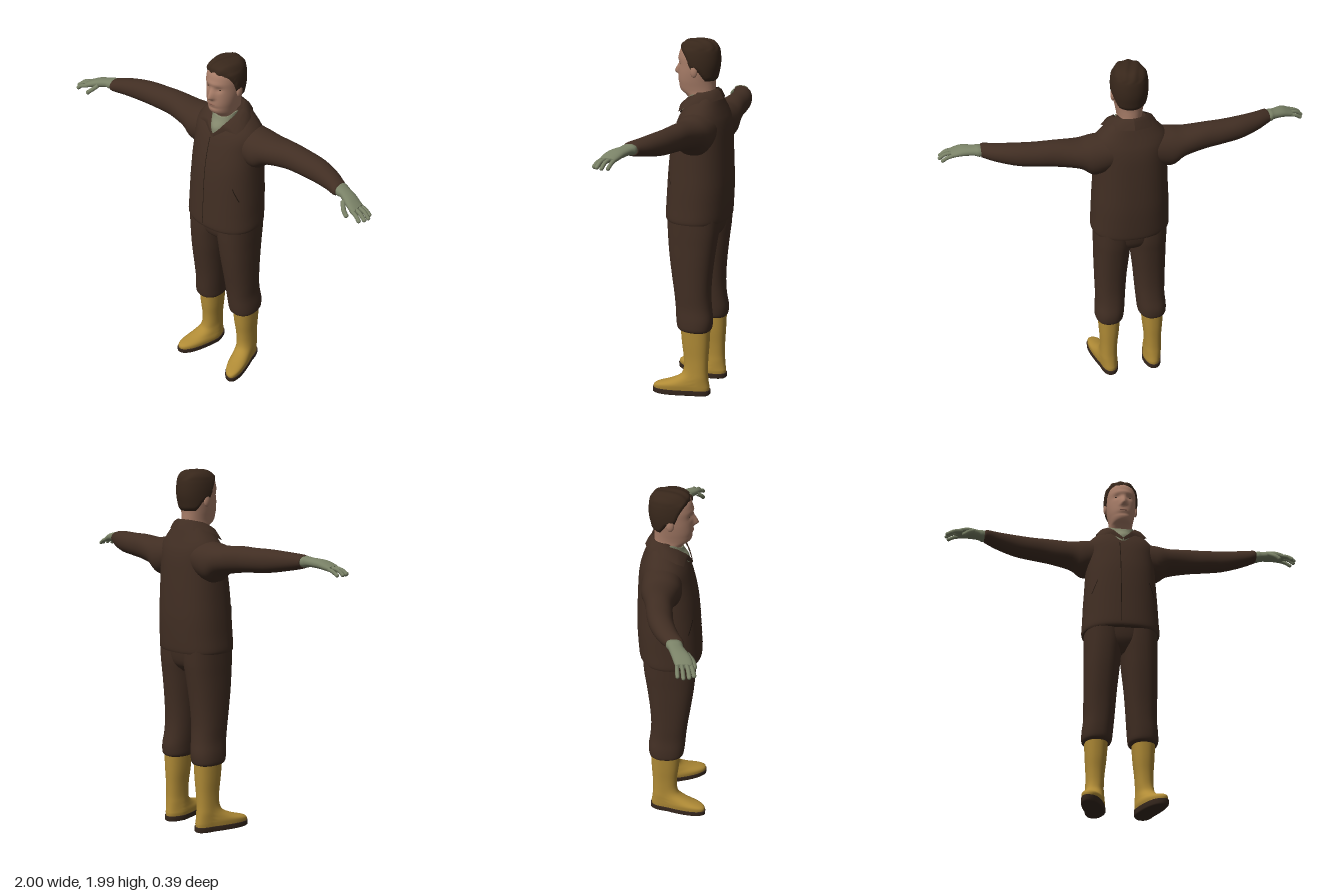
import * as THREE from 'three';
import { mergeGeometries } from 'three/addons/utils/BufferGeometryUtils.js';

const V = (x, y, z) => new THREE.Vector3(x, y, z);
const clamp = THREE.MathUtils.clamp, smooth = THREE.MathUtils.smoothstep;

// Smoothly subdivide rows of section numbers
function refine(rows, k = 4) {
  const out = [], last = rows.length - 1;
  for (let i = 0; i < last; i++) for (let s = 0; s < k; s++) {
    const t = s / k, [a, b, c, d] = [i - 1, i, i + 1, i + 2].map(n => rows[clamp(n, 0, last)]);
    out.push(b.map((_, q) => {
      const m0 = (c[q] - a[q]) / 2, m1 = (d[q] - b[q]) / 2;
      return b[q] + t * m0 + t * t * (3 * (c[q] - b[q]) - 2 * m0 - m1) + t * t * t * (2 * (b[q] - c[q]) + m0 + m1);
    }));
  }
  out.push(rows[last]);
  return out;
}

// Surface through rows of points; closed rows wrap around and get end caps
function grid(rows, closed) {
  const m = rows[0].length, pts = rows.flat(), idx = [], n = rows.length;
  for (let i = 0; i < n - 1; i++) for (let j = 0; j < (closed ? m : m - 1); j++) {
    const k = (j + 1) % m, a = i * m + j, b = a + m, c = i * m + k, d = c + m;
    idx.push(a, b, c, b, d, c);
  }
  if (closed) for (const end of [0, n - 1]) {
    const base = pts.length, centre = V(0, 0, 0);
    rows[end].forEach(p => { pts.push(p); centre.addScaledVector(p, 1 / m); });
    pts.push(centre);
    for (let j = 0; j < m; j++) {
      const k = (j + 1) % m;
      idx.push(base + m, base + (end ? k : j), base + (end ? j : k));
    }
  }
  const g = new THREE.BufferGeometry().setFromPoints(pts);
  g.setIndex(idx);
  g.computeVertexNormals();
  return g;
}

// Rows are [position, centreA, radiusA, centreB, radiusB] of superellipse sections
function loft(rows, { axis = 'y', n = 2, seg = 36, tweak = p => p } = {}) {
  const pw = v => Math.sign(v) * Math.abs(v) ** (2 / n);
  return grid(rows.map(([s, ca, ra, cb, rb]) => Array.from({ length: seg }, (_, j) => {
    const t = j / seg * Math.PI * 2, a = ca + ra * pw(Math.cos(t)), b = cb + rb * pw(Math.sin(t));
    return tweak(axis === 'y' ? V(a, s, b) : V(s, b, a));
  })), true);
}
const span = (hi, lo) => [(hi + lo) / 2, (hi - lo) / 2];
const upright = rows => rows.map(([y, front, back, rx, cx = 0]) => [y, cx, rx, ...span(front, back)]);
const sideways = rows => rows.map(([x, top, bottom, front, back]) => [x, ...span(front, back), ...span(top, bottom)]);

function mirrored(geo) {
  const g = geo.clone().scale(-1, 1, 1), ix = g.index.array;
  for (let i = 0; i < ix.length; i += 3) [ix[i], ix[i + 1]] = [ix[i + 1], ix[i]];
  return g;
}
const ball = (x, y, z, rx, ry, rz) => new THREE.SphereGeometry(1, 16, 10).scale(rx, ry, rz).translate(x, y, z);

// Finger with a round tip, without uv so that it merges with lofted parts
function finger(pts, r) {
  const c = new THREE.CatmullRomCurve3(pts.map(p => V(...p))), tip = pts[pts.length - 1];
  return mergeGeometries([new THREE.TubeGeometry(c, 8, r, 8), ball(...tip, r, r, r)]).deleteAttribute('uv');
}

export function createModel() {
  const model = new THREE.Group();
  const material = (name, color, side = THREE.FrontSide) => {
    const m = new THREE.MeshStandardMaterial({ color, side });
    m.name = name;
    return m;
  };
  const cloth = material('brown cloth', 0x412e23, THREE.DoubleSide), seam = material('dark seam', 0x21170f, THREE.DoubleSide);
  const skin = material('skin', 0xa97e69), hairMat = material('dark brown hair', 0x38271b);
  const lipMat = material('lips', 0x8e6252), glove = material('grey green glove', 0x7a8267);
  const shirtMat = material('pale green shirt', 0x83876c), yellow = material('yellow rubber', 0xb08b36);
  const soleMat = material('dark sole', 0x38291f);
  const add = (name, geo, mat) => {
    const mesh = new THREE.Mesh(geo, mat);
    mesh.name = name;
    model.add(mesh);
  };
  const pair = (name, geo, mat) => { add(name + 'Left', geo, mat); add(name + 'Right', mirrored(geo), mat); };

  // Jacket body
  const torso = refine(upright([
    [1.01, .161, -.176, .213], [1.03, .166, -.181, .217], [1.1, .163, -.186, .213], [1.2, .157, -.19, .209],
    [1.3, .15, -.188, .203], [1.4, .138, -.184, .198], [1.5, .115, -.178, .194], [1.56, .095, -.168, .197],
    [1.6, .075, -.155, .187], [1.64, .05, -.14, .155], [1.68, .02, -.125, .115], [1.71, 0, -.11, .08]]));
  add('jacketBody', loft(torso, { n: 2.3, seg: 48 }), cloth);

  // Seams laid on the front of the jacket
  const torsoZ = (x, y) => {
    const i = clamp(torso.findIndex(r => r[0] >= y), 1, torso.length - 1), a = torso[i - 1], b = torso[i];
    const [, , rx, cz, rz] = a.map((v, q) => v + (b[q] - v) * (y - a[0]) / (b[0] - a[0]));
    return cz + rz * (1 - Math.abs(x / rx) ** 2.3) ** (1 / 2.3);
  };
  const strip = (x0, y0, x1, y1, w) => grid([-w, w].map(o => Array.from({ length: 15 }, (_, i) => {
    const x = x0 + (x1 - x0) * i / 14 + o, y = y0 + (y1 - y0) * i / 14;
    return V(x, y, torsoZ(x, y) + .003);
  })), false);
  add('jacketFrontSeam', strip(-.02, 1.03, -.02, 1.555, .002), seam);
  pair('pocketSeam', strip(.145, 1.3, .175, 1.22, .002), seam);

  // Folded collar with lapels
  const inner = [[0, 1.727, -.106], [.06, 1.724, -.09], [.09, 1.71, -.03], [.078, 1.685, .03], [.052, 1.645, .078], [.03, 1.615, .095], [0, 1.58, .105]];
  const outer = [[0, 1.675, -.143], [.09, 1.672, -.118], [.137, 1.665, -.04], [.146, 1.635, .028], [.128, 1.612, .064], [.07, 1.618, .079], [.003, 1.568, .108]];
  const mid = inner.map((p, i) => p.map((v, q) => (v + outer[i][q]) / 2 + (q === 1 ? .012 : 0)));
  pair('collar', grid([outer, mid, inner].map(r => r.map(p => V(...p))), false), cloth);

  // Shirt at the neck opening
  add('shirt', loft(refine(upright([[1.54, .085, -.05, .05], [1.6, .092, -.06, .055], [1.64, .082, -.08, .065],
    [1.68, .066, -.095, .074], [1.7, .058, -.095, .076]])), {
    tweak: p => { p.y -= .035 * smooth(p.z, 0, .07) * smooth(p.y, 1.6, 1.7); return p; } }), shirtMat);

  // Sleeves
  pair('sleeve', loft(refine(sideways([
    [.06, 1.62, 1.45, .05, -.15], [.2, 1.614, 1.4, .058, -.155], [.28, 1.604, 1.448, .04, -.143], [.4, 1.612, 1.472, .02, -.12],
    [.5, 1.61, 1.482, .024, -.108], [.6, 1.61, 1.49, .034, -.088], [.7, 1.602, 1.507, .06, -.05],
    [.765, 1.593, 1.521, .086, -.012], [.78, 1.585, 1.528, .078, -.004]])), { axis: 'x', n: 2.1 }), cloth);

  // Gloves
  const palm = loft(refine(sideways([
    [.75, 1.58, 1.535, .07, .005], [.79, 1.587, 1.53, .083, .002], [.815, 1.582, 1.535, .088, .014], [.87, 1.574, 1.528, .12, .032],
    [.91, 1.557, 1.519, .135, .046], [.93, 1.546, 1.523, .13, .054]])), { axis: 'x', n: 2.3, seg: 24 });
  pair('glove', mergeGeometries([palm,
    finger([[.905, 1.535, .123], [.95, 1.522, .136], [.968, 1.508, .142]], .011),
    finger([[.91, 1.538, .102], [.955, 1.53, .114], [.985, 1.51, .12]], .011),
    finger([[.91, 1.538, .08], [.96, 1.53, .088], [.99, 1.508, .093]], .01),
    finger([[.905, 1.535, .06], [.95, 1.524, .062], [.977, 1.507, .065]], .01),
    finger([[.845, 1.55, .105], [.873, 1.523, .135], [.893, 1.505, .142]], .012)]), glove);

  // Trousers
  pair('trouserLeg', loft(refine([
    [.385, .195, .06, .052, -.116], [.4, .206, .046, .068, -.126], [.45, .206, .04, .076, -.13], [.52, .199, .034, .082, -.12],
    [.6, .2, .028, .091, -.115], [.7, .201, .02, .106, -.12], [.8, .202, .009, .12, -.131], [.88, .202, .001, .128, -.142],
    [.95, .203, -.008, .133, -.152], [1.04, .203, -.01, .136, -.158]]
    .map(([y, out, inn, f, b]) => [y, ...span(out, inn), ...span(f, b)])), { n: 2.3 }), cloth);
  add('trouserHips', loft(refine(upright([[.89, .07, -.09, .07], [.94, .118, -.138, .15], [1.03, .133, -.156, .198]])), { n: 2.4 }), cloth);

  // Boots with toes turned outward
  const turnOut = p => { p.x += .27 * Math.max(0, p.z + .03) * (1 - smooth(p.y, .07, .17)); return p; };
  pair('boot', loft(refine(upright([
    [.025, .192, -.115, .053, .13], [.045, .194, -.117, .056, .13], [.06, .175, -.115, .056, .131], [.08, .11, -.112, .053, .132],
    [.11, .05, -.109, .05, .133], [.15, .032, -.107, .048, .133], [.22, .032, -.109, .05, .131],
    [.3, .042, -.114, .057, .129], [.395, .05, -.118, .063, .128]])), { n: 2.3, tweak: turnOut }), yellow);
  pair('bootSole', loft(upright([[0, .188, -.116, .053, .13], [.006, .198, -.122, .058, .13], [.03, .199, -.122, .058, .13]]),
    { n: 2.4, tweak: turnOut }), soleMat);

  // Head and neck with nose, brow and eye sockets
  const head = refine(upright([
    [1.6, .035, -.1, .064], [1.66, .045, -.096, .066], [1.69, .068, -.094, .066], [1.71, .095, -.094, .066], [1.735, .106, -.094, .07],
    [1.77, .11, -.095, .077], [1.81, .109, -.102, .083], [1.85, .107, -.11, .086], [1.89, .107, -.112, .087],
    [1.93, .098, -.108, .082], [1.96, .074, -.092, .066], [1.973, .045, -.066, .043], [1.977, .004, -.02, .006]]), 5);
  const bump = (v, c, w) => Math.exp(-(((v - c) / w) ** 2));
  const face = p => {
    if (p.z > .03) {
      const nose = smooth(p.y, 1.788, 1.805) * (1 - smooth(p.y, 1.805, 1.875));
      p.z += .028 * nose * bump(p.x, 0, .016) - .009 * bump(Math.abs(p.x), .036, .018) * bump(p.y, 1.855, .014)
        + .005 * bump(p.y, 1.885, .012) * bump(p.x, 0, .05) - .005 * bump(p.y, 1.745, .009) * bump(p.x, 0, .04);
    }
    return p;
  };
  add('head', loft(head, { n: 2.15, seg: 64, tweak: face }), skin);
  pair('ear', ball(.088, 1.825, -.008, .011, .033, .02), skin);
  pair('eye', ball(.036, 1.854, .086, .011, .004, .006), hairMat);
  pair('brow', finger([[.017, 1.873, .1], [.036, 1.877, .095], [.056, 1.873, .08]], .0035), hairMat);
  add('lips', ball(0, 1.766, .106, .023, .0055, .006), lipMat);

  // Hair shell that rises from the scalp above the hairline
  const line = [[-.2, 1.765], [-.06, 1.772], [-.03, 1.82], [.015, 1.832], [.035, 1.885], [.06, 1.92], [.09, 1.94], [.3, 1.945]];
  const hairline = z => {
    const i = line.findIndex(q => q[0] >= z), [a, b] = [line[i - 1], line[i]];
    return a[1] + (b[1] - a[1]) * (z - a[0]) / (b[0] - a[0]);
  };
  add('hair', loft(head.filter(r => r[0] > 1.74), { n: 2.15, seg: 64, tweak: p => {
    face(p);
    const d = clamp((p.y - hairline(p.z)) / .02, -1, 1) * .011;
    const wave = p.y > 1.93 ? .0025 * Math.sin(p.x * 130 + p.z * 45) : 0;
    return p.addScaledVector(V(p.x, p.y - 1.85, p.z + .005).normalize(), d + wave);
  } }), hairMat);

  return model;
}
